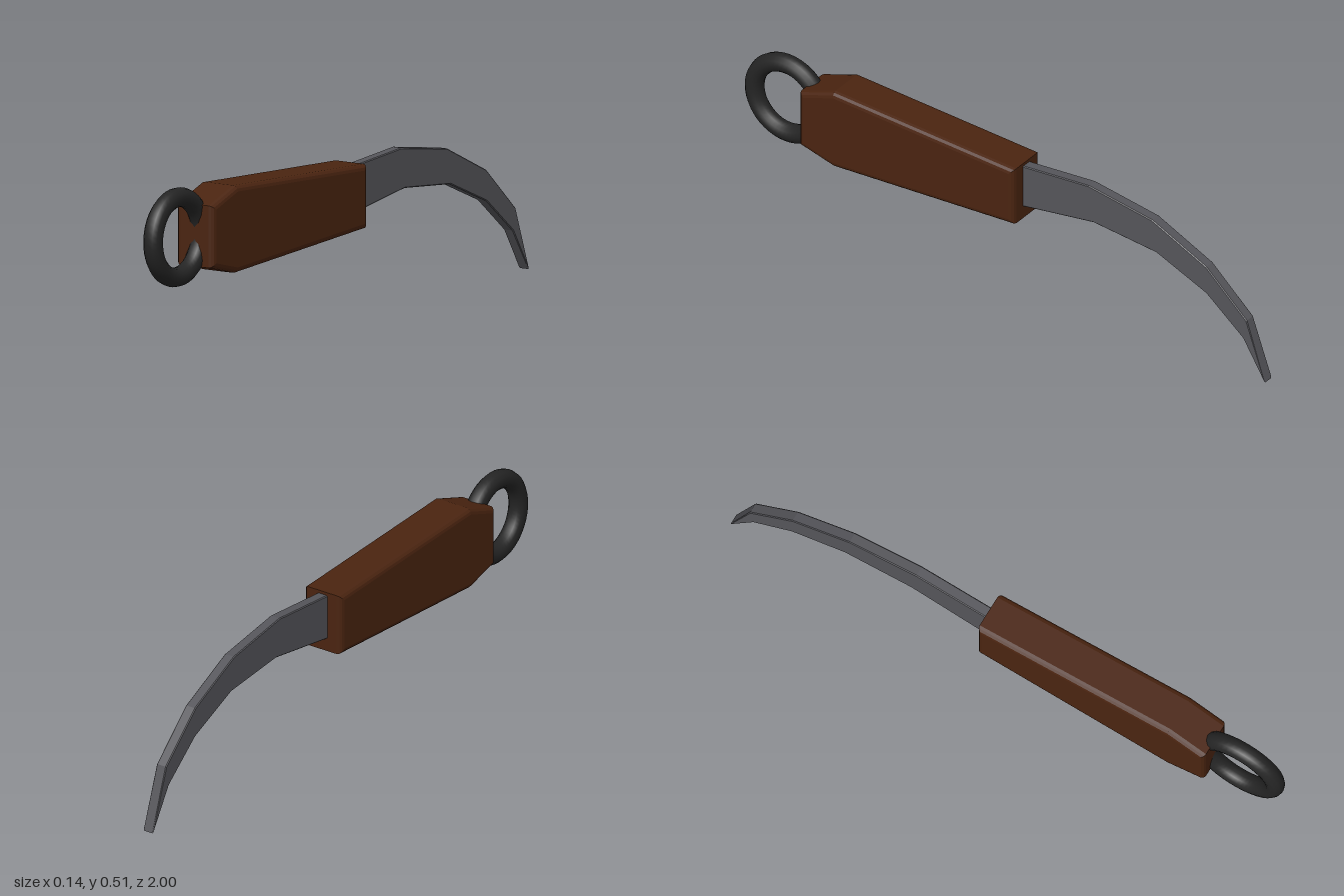
import * as THREE from 'three';

const mat = (name, color) => {
  const m = new THREE.MeshStandardMaterial({ color });
  m.name = name;
  return m;
};

// Side outline given as [z, y] points, thickened along x with bevelled edges kept inside the outline
function slab(name, outline, halfWidth, bevel, segments, material) {
  const shape = new THREE.Shape(outline.map(([z, y]) => new THREE.Vector2(z, y)));
  const depth = 2 * (halfWidth - bevel);
  const geo = new THREE.ExtrudeGeometry(shape, {
    depth, bevelEnabled: true, bevelThickness: bevel, bevelSize: bevel,
    bevelOffset: -bevel, bevelSegments: segments,
  });
  geo.translate(0, 0, -depth / 2);
  geo.rotateY(-Math.PI / 2);
  const mesh = new THREE.Mesh(geo, material);
  mesh.name = name;
  return mesh;
}

export function createModel() {
  const group = new THREE.Group();
  group.name = 'curvedKnife';
  const wood = mat('darkWood', 0x4a2410);
  const steel = mat('greySteel', 0x55555a);
  const iron = mat('blackIron', 0x242424);

  // Tapered wooden grip, chamfered towards the ring
  group.add(slab('handle', [
    [0.75, 0.25], [0.75, 0.447], [0.62, 0.494], [-0.073, 0.466], [-0.073, 0.263], [0.62, 0.217],
  ], 0.072, 0.018, 3, wood));

  // Hooked blade, its root set into the grip
  group.add(slab('blade', [
    [0.0, 0.45], [-0.073, 0.456], [-0.325, 0.478], [-0.568, 0.442], [-0.775, 0.346], [-0.93, 0.204], [-1, 0],
    [-0.915, 0.134], [-0.775, 0.247], [-0.583, 0.327], [-0.342, 0.348], [-0.073, 0.306], [0.0, 0.294],
  ], 0.0185, 0.003, 1, steel));

  // Finger ring at the end of the grip
  const ring = new THREE.Mesh(new THREE.TorusGeometry(0.126, 0.031, 12, 48), iron);
  ring.name = 'fingerRing';
  ring.rotation.y = Math.PI / 2;
  ring.position.set(0, 0.355, 0.843);
  group.add(ring);

  return group;
}
